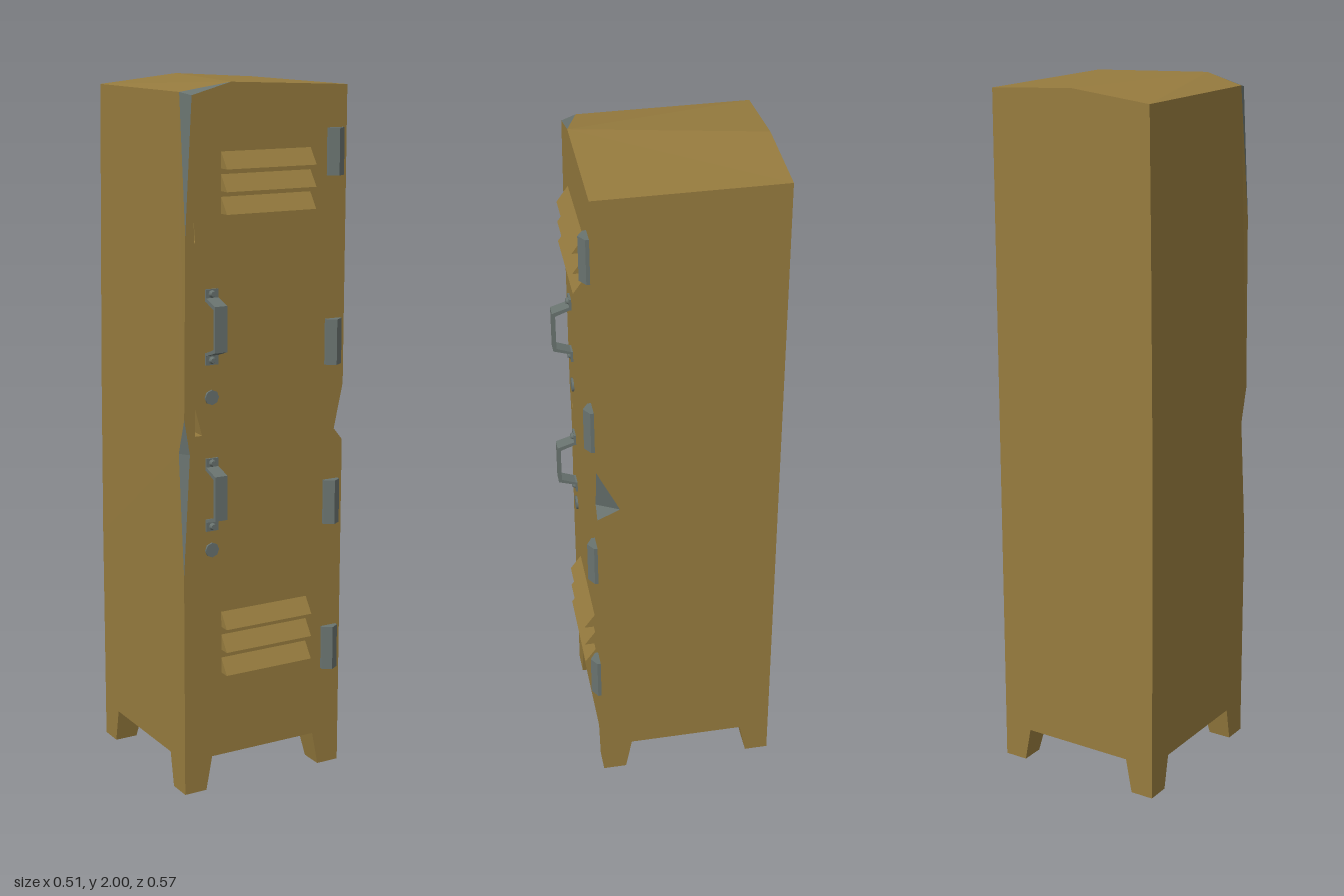
import * as THREE from 'three';

const paint = new THREE.MeshStandardMaterial({ name: 'mustard paint', color: 0x967b3e });
const steel = new THREE.MeshStandardMaterial({ name: 'bare steel', color: 0x69736f });
const R = 0.256, L = -0.258, F = 0.229, B = -0.287, FLOOR = 0.1;

// Flat-shaded polygon, optionally with holes, whose triangles face the outward vector
function face(group, name, mat, outward, pts, holes = []) {
  const out = new THREE.Vector3(...outward);
  const a = outward.map(Math.abs);
  const drop = a.indexOf(Math.max(...a));
  const keep = [0, 1, 2].filter(i => i !== drop);
  const flat = list => list.map(p => new THREE.Vector2(p[keep[0]], p[keep[1]]));
  const order = (list, ccw) => (THREE.ShapeUtils.area(flat(list)) > 0) === ccw ? list : [...list].reverse();
  const outer = order(pts, true), inner = holes.map(h => order(h, false));
  const all = [...outer, ...inner.flat()].map(p => new THREE.Vector3(...p));
  const verts = [];
  for (const [i, j, k] of THREE.ShapeUtils.triangulateShape(flat(outer), inner.map(flat))) {
    const n = all[j].clone().sub(all[i]).cross(all[k].clone().sub(all[i]));
    verts.push(all[i], ...(n.dot(out) > 0 ? [all[j], all[k]] : [all[k], all[j]]));
  }
  const geo = new THREE.BufferGeometry().setFromPoints(verts);
  geo.computeVertexNormals();
  return add(group, name, geo, mat);
}

function add(group, name, geo, mat, x = 0, y = 0, z = 0) {
  const mesh = new THREE.Mesh(geo, mat);
  mesh.name = name;
  mesh.position.set(x, y, z);
  group.add(mesh);
  return mesh;
}

// Extrusion of a closed 2D outline
function prism(points, depth) {
  const shape = new THREE.Shape(points.map(p => new THREE.Vector2(...p)));
  return new THREE.ExtrudeGeometry(shape, { depth, bevelEnabled: false });
}

function buildBody() {
  const g = new THREE.Group();
  g.name = 'cabinetBody';
  // Leaning left edge, and the crown of the roof
  const edge = [[L, FLOOR], [L, 0.65], [-0.255, 1.1], [-0.249, 1.6], [-0.243, 1.975]];
  const crownF = [-0.11, 2, F], crownB = [0, 2, B];
  const roofF = [R, 1.985, F], roofB = [R, 1.985, B];
  // Corner damage: right notch, left gouge, and top left chip
  const nTop = [R, 1.15, F], nFront = [0.228, 1.02, F], nSide = [R, 1.015, 0.165], nLow = [R, 0.985, F];
  const gLow = [L, 0.65, F], gFront = [-0.238, 1, F], gSide = [-0.257, 1, 0.2], gTop = [-0.255, 1.1, F];
  const cLow = [-0.249, 1.6, F], cFront = [-0.228, 1.968, F], cSide = [-0.243, 1.975, 0.188];

  // Small dents pressed into the front
  const dents = [
    [[-0.222, 1.13, F], [-0.222, 1.05, F], [-0.2, 1.05, F]],
    [[-0.224, 1.645, F], [-0.222, 1.58, F], [-0.219, 1.585, F]],
  ];
  face(g, 'frontPanel', paint, [0, 0, 1], [[L, FLOOR, F], [R, FLOOR, F], nLow, nFront, nTop,
    roofF, crownF, cFront, cLow, gTop, gFront, gLow], dents);
  for (const d of dents) {
    const apex = [d[0][0] + 0.002, d[1][1] + 0.012, F - 0.014];
    d.forEach((p, i) => face(g, 'dent', paint, [0, 0, 1], [p, d[(i + 1) % 3], apex])
      .material.side = THREE.DoubleSide);
  }
  face(g, 'backPanel', paint, [0, 0, -1],
    [[R, FLOOR, B], roofB, crownB, ...[...edge].reverse().map(p => [...p, B])]);
  face(g, 'rightEdgePanel', paint, [1, 0, 0],
    [[R, FLOOR, F], [R, FLOOR, B], roofB, roofF, nTop, nSide, nLow]);
  face(g, 'leftEdgePanel', paint, [-1, 0, 0],
    [[L, FLOOR, F], gLow, gSide, gTop, cLow, cSide, ...[...edge].reverse().map(p => [...p, B])]);
  face(g, 'roofLow', paint, [0, 1, 0], [crownF, cSide, [-0.243, 1.975, B], crownB]);
  face(g, 'roofHigh', paint, [0, 1, 0], [crownF, crownB, roofB, roofF]);
  face(g, 'floor', paint, [0, -1, 0], [[L, FLOOR, F], [R, FLOOR, F], [R, FLOOR, B], [L, FLOOR, B]]);

  // Bare metal in the damaged corners
  face(g, 'notchUpper', steel, [1, 0.5, 1.2], [nTop, nFront, nSide]);
  face(g, 'notchLower', steel, [1, 0.5, 1.2], [nLow, nFront, nSide]);
  face(g, 'gougeUpper', steel, [-1, 0, 1.2], [gTop, gFront, gSide]);
  face(g, 'gougeLower', steel, [-1, 0, 1.2], [gLow, gFront, gSide]);
  face(g, 'chipSide', steel, [-1, 0, 0.9], [cLow, cFront, cSide]);
  face(g, 'chipTop', steel, [-0.1, 1, 0.3], [crownF, cFront, cSide]);
  return g;
}

// Corner leg, straight outside and tapered inside
function buildLeg(sx, sz) {
  const x = sx > 0 ? R : L, z = sz > 0 ? F : B;
  const geo = new THREE.BoxGeometry(1, 1, 1);
  const p = geo.attributes.position;
  for (let i = 0; i < p.count; i++) {
    const top = p.getY(i) > 0, w = top ? 0.088 : 0.069;
    p.setXYZ(i, p.getX(i) * sx > 0 ? x : x - sx * w, top ? FLOOR : 0,
      p.getZ(i) * sz > 0 ? z : z - sz * w);
  }
  const flat = geo.toNonIndexed();
  flat.computeVertexNormals();
  return flat;
}

function buildHandle() {
  const g = new THREE.Group();
  g.name = 'handle';
  // Bent strap seen from the side: outward distance, height
  const strap = prism([[0, 0.082], [0, 0.072], [0.047, 0.054], [0.047, -0.054], [0, -0.072],
    [0, -0.08], [0.056, -0.062], [0.056, 0.064]], 0.038);
  strap.rotateY(-Math.PI / 2).translate(0.019, 0, 0);
  add(g, 'handleStrap', strap, steel);
  for (const s of [1, -1]) {
    add(g, 'handleFoot', new THREE.BoxGeometry(0.038, 0.034, 0.006), steel, 0, s * 0.087, 0.003);
    const rivet = new THREE.CylinderGeometry(0.007, 0.011, 0.008, 8).rotateX(Math.PI / 2);
    add(g, 'handleRivet', rivet, steel, 0, s * 0.091, 0.01);
  }
  return g;
}

export function createModel() {
  const model = new THREE.Group();
  model.name = 'metalLocker';
  model.add(buildBody());
  for (const sx of [1, -1]) for (const sz of [1, -1]) add(model, 'leg', buildLeg(sx, sz), paint);

  // Vent louvres
  const louvre = prism([[0, 0], [0.032, 0], [0, 0.045]], 0.28);
  louvre.rotateY(-Math.PI / 2).translate(0.14, 0, 0);
  for (const y of [1.774, 1.714, 1.654, 0.487, 0.419, 0.35]) add(model, 'louvre', louvre, paint, 0, y, F);

  // Ridged hinges along one edge
  const hinge = prism([[-0.025, 0], [0.025, 0], [0.025, 0.01], [0, 0.026], [-0.025, 0.01]], 0.13);
  hinge.rotateX(-Math.PI / 2).scale(1, 1, 1);
  hinge.rotateZ(Math.PI).translate(0, 0.13, 0);
  hinge.rotateX(Math.PI).translate(0, 0, 0);
  hinge.computeBoundingBox();
  const b = hinge.boundingBox;
  if (b.max.z < 0.02) hinge.rotateX(Math.PI);
  hinge.computeBoundingBox();
  hinge.translate(0, -(hinge.boundingBox.min.y + hinge.boundingBox.max.y) / 2, 0);
  for (const y of [1.805, 1.275, 0.808, 0.365]) add(model, 'hinge', hinge, steel, 0.218, y, F);

  // Handle and round lock on each door
  for (const [y, lockY] of [[1.35, 1.155], [0.88, 0.72]]) {
    const handle = buildHandle();
    handle.position.set(-0.171, y, F);
    model.add(handle);
    const lock = new THREE.CylinderGeometry(0.021, 0.021, 0.006, 8).rotateX(Math.PI / 2);
    add(model, 'lock', lock, steel, -0.171, lockY, F + 0.003);
  }
  return model;
}
